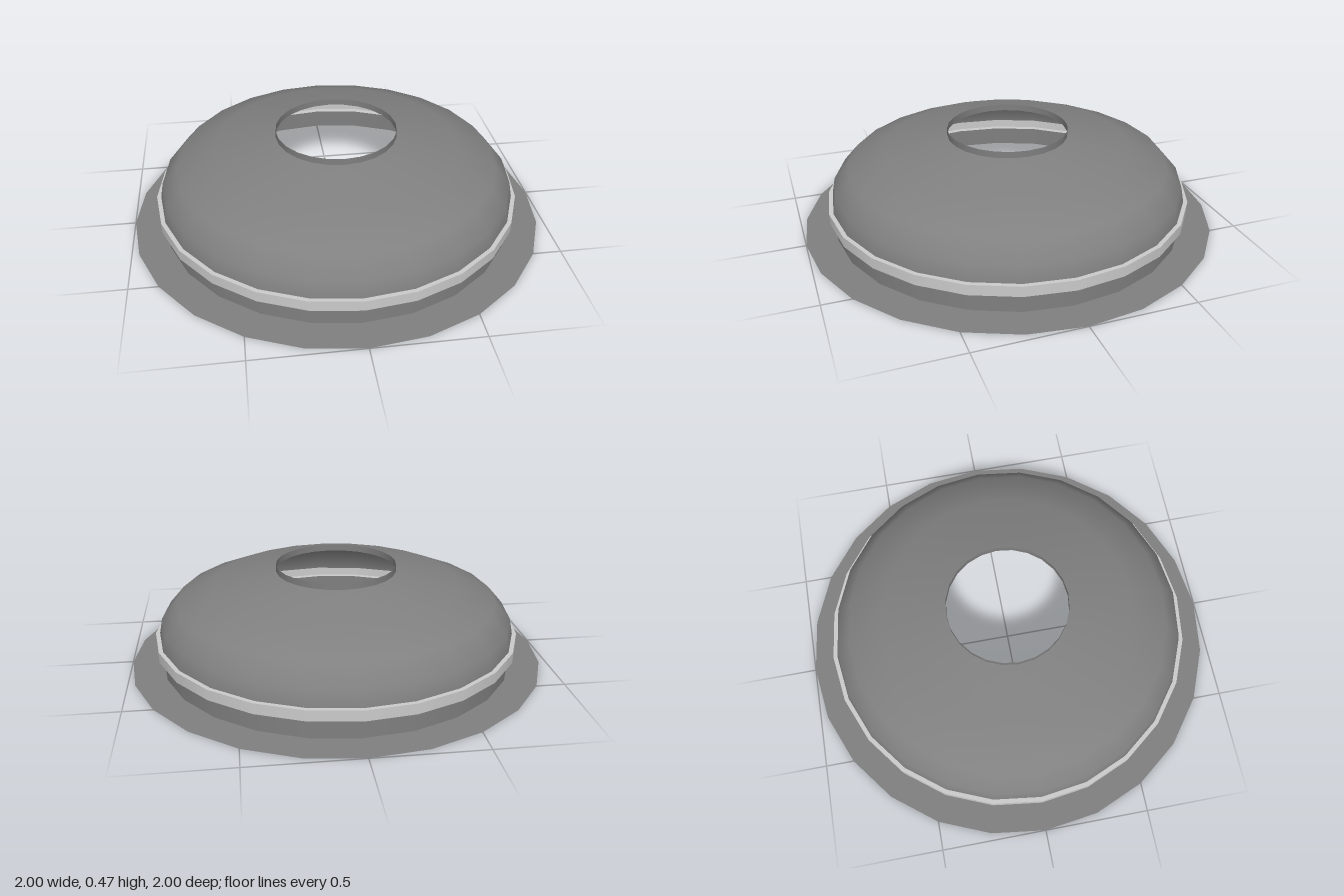
import * as THREE from 'three';

const SEGMENTS = 24;

export function createModel() {
  const group = new THREE.Group();
  const shell = new THREE.MeshStandardMaterial({ color: 0x808080, side: THREE.DoubleSide });
  const trim = new THREE.MeshStandardMaterial({ color: 0xcccccc, side: THREE.DoubleSide });

  // Thin surface of revolution; separate pieces keep the creases between them sharp
  function ring(name, material, profile) {
    const points = profile.map(([r, y]) => new THREE.Vector2(r, y));
    const mesh = new THREE.Mesh(new THREE.LatheGeometry(points, SEGMENTS), material);
    mesh.name = name;
    group.add(mesh);
  }

  // Flat flange and the short wall rising from it
  ring('baseFlange', shell, [[1, 0], [0.85, 0]]);
  ring('lowerWall', shell, [[0.85, 0], [0.85, 0.095]]);

  // Raised band, hollow on the inside
  ring('bandLowerLedge', trim, [[0.85, 0.095], [0.88, 0.095]]);
  ring('bandFace', trim, [[0.88, 0.095], [0.88, 0.145]]);
  ring('bandUpperLedge', trim, [[0.88, 0.145], [0.86, 0.145]]);

  // Smooth dome with an open collar at the top
  ring('dome', shell, [[0.86, 0.145], [0.845, 0.22], [0.77, 0.307], [0.595, 0.378], [0.29, 0.436]]);
  ring('topCollar', shell, [[0.29, 0.436], [0.29, 0.467]]);

  return group;
}
